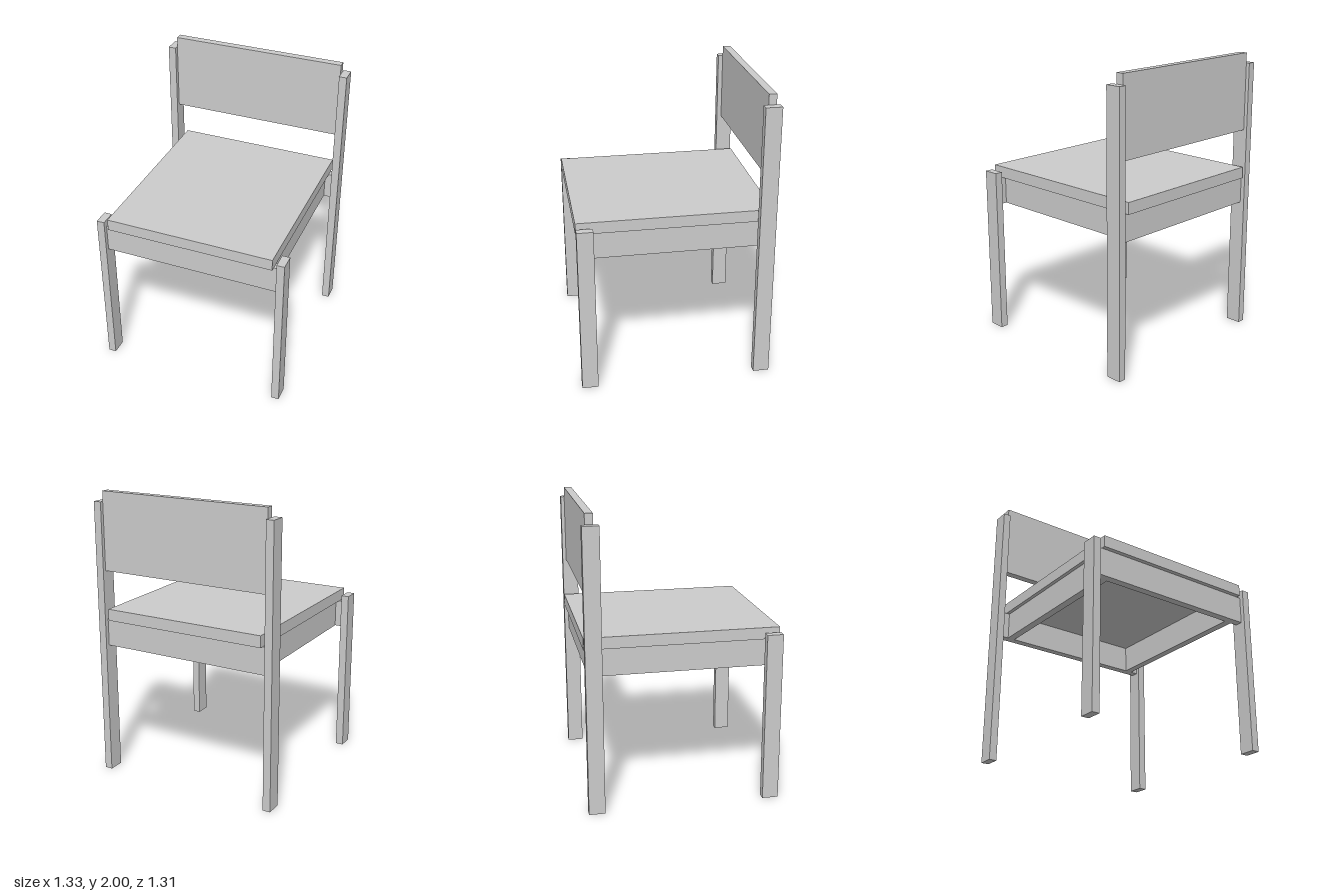
import * as THREE from 'three';

const material = new THREE.MeshStandardMaterial({ color: 0xcccccc, flatShading: true });

// Box given by its [min, max] extents on each axis
function block(name, [x0, x1], [y0, y1], [z0, z1]) {
  const mesh = new THREE.Mesh(new THREE.BoxGeometry(x1 - x0, y1 - y0, z1 - z0), material);
  mesh.name = name;
  mesh.position.set((x0 + x1) / 2, (y0 + y1) / 2, (z0 + z1) / 2);
  return mesh;
}

// Flip an extent to the negative side when s is -1
const mirror = (s, a, b) => (s > 0 ? [a, b] : [-b, -a]);

export function createModel() {
  const chair = new THREE.Group();
  chair.name = 'chair';

  // Seat board and backrest panel
  chair.add(block('seat', [-0.585, 0.585], [1.12, 1.2], [-0.655, 0.655]));
  chair.add(block('backrest', [-0.613, 0.613], [1.46, 2], [-0.63, -0.577]));

  const railY = [0.93, 1.12];
  for (const s of [1, -1]) {
    const side = s > 0 ? 'left' : 'right';
    const legX = mirror(s, 0.613, 0.667);

    // Legs: short at the front, tall posts at the back
    chair.add(block(`${side}FrontLeg`, legX, [0, 1.17], [0.545, 0.655]));
    chair.add(block(`${side}BackLeg`, legX, [0, 1.93], [-0.655, -0.545]));

    // Seat frame: cross rails between the legs, side rails between the cross rails
    chair.add(block(s > 0 ? 'frontRail' : 'backRail', [-0.613, 0.613], railY, mirror(s, 0.572, 0.625)));
    chair.add(block(`${side}SideRail`, mirror(s, 0.507, 0.56), railY, [-0.572, 0.572]));
  }
  return chair;
}
